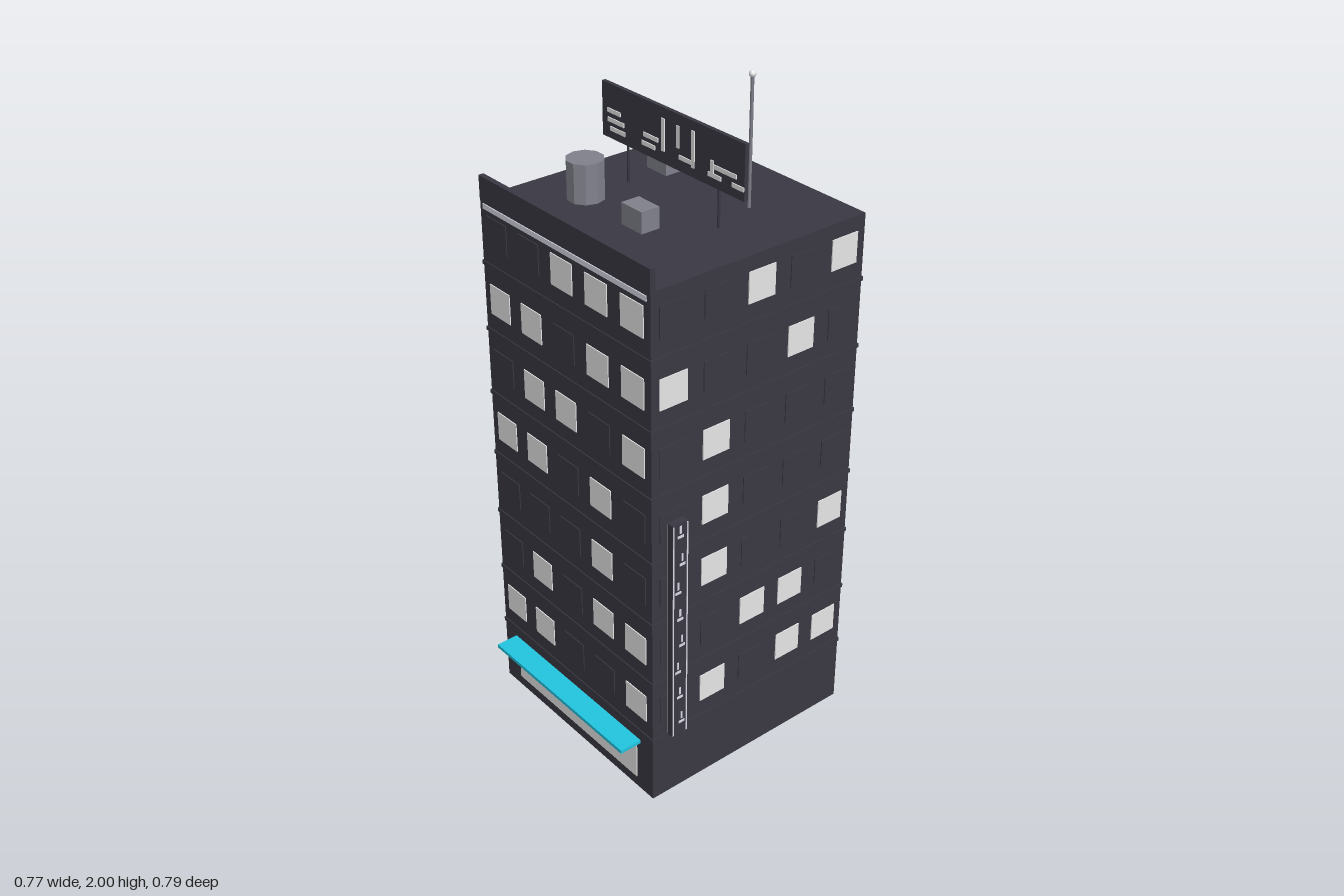
import * as THREE from 'three';

const mat = (name, color) => {
  const m = new THREE.MeshStandardMaterial({ color });
  m.name = name;
  return m;
};

export function createModel() {
  const dark = mat('dark wall', 0x3a3944);
  const light = mat('pale glass', 0xe8e8e8);
  const lilac = mat('pale lilac trim', 0xdcdcea);
  const grey = mat('grey metal', 0x81828d);
  const teal = mat('teal awning', 0x22c5e0);
  const building = new THREE.Group();
  building.name = 'building';

  const add = (name, geometry, material, x, y, z, parent = building) => {
    const mesh = new THREE.Mesh(geometry, material);
    mesh.name = name;
    mesh.position.set(x, y, z);
    parent.add(mesh);
    return mesh;
  };
  // box given by its limits on each axis
  const box = (name, material, x0, x1, y0, y1, z0, z1, parent) =>
    add(name, new THREE.BoxGeometry(x1 - x0, y1 - y0, z1 - z0), material,
      (x0 + x1) / 2, (y0 + y1) / 2, (z0 + z1) / 2, parent);

  const CX = -0.022, CZ = -0.034, HALF = 0.359, ROOF = 1.625;
  const ROW0 = 0.318, ROW = 0.203, COL = 0.144;

  // tower and floor ledges
  box('tower', dark, CX - HALF, CX + HALF, 0, ROOF, CZ - HALF, CZ + HALF);
  for (let i = 0; i < 7; i++) {
    const y = ROW0 + (i - 0.5) * ROW, out = HALF + 0.003;
    box('floorLedge', dark, CX - out, CX + out, y - 0.006, y + 0.006, CZ - out, CZ + out);
  }

  // windows: lit columns on each facade, top floor first
  const facades = [
    ['front', 0, ['234', '0134', '124', '013', '3', '134', '014']],
    ['left', Math.PI / 2, ['24', '03', '1', '1', '14', '23', '134']],
    ['back', Math.PI, ['234', '234', '02', '2', '2', '1', '2']],
    ['right', -Math.PI / 2, ['34', '13', '2', '04', '12', '3', '12']],
  ];
  const pane = new THREE.BoxGeometry(0.09, 0.09, 0.006);
  for (const [side, angle, floors] of facades) {
    const facade = new THREE.Group();
    facade.name = side + 'Windows';
    facade.position.set(CX, 0, CZ);
    facade.rotation.y = angle;
    floors.forEach((lit, r) => {
      for (let c = 0; c < 5; c++) {
        const on = lit.includes(String(c));
        add(on ? 'litWindow' : 'darkWindow', pane, on ? light : dark,
          (c - 2) * COL, ROW0 + (6 - r) * ROW, HALF, facade);
      }
    });
    building.add(facade);
  }

  // front parapet, trim, shop window and awning
  const FZ = CZ + HALF;
  box('parapet', dark, CX - HALF, CX + HALF, ROOF - 0.005, 1.688, FZ - 0.015, FZ + 0.001);
  box('trimStrip', lilac, -0.367, 0.323, 1.597, 1.612, FZ - 0.002, FZ + 0.003);
  box('shopWindow', light, -0.31, 0.266, 0.035, 0.172, FZ - 0.003, FZ + 0.003);
  box('awning', teal, -0.327, 0.282, 0.172, 0.183, FZ - 0.002, 0.395);

  // rooftop tank and air units
  add('waterTank', new THREE.CylinderGeometry(0.053, 0.053, 0.115, 10).rotateY(Math.PI / 2)
    .toNonIndexed(), grey, -0.201, ROOF + 0.055, 0.11).geometry.computeVertexNormals();
  for (const [x, z] of [[-0.216, -0.171], [-0.144, -0.229], [0.031, 0.111]])
    box('airUnit', grey, x - 0.041, x + 0.041, ROOF - 0.005, 1.686, z - 0.029, z + 0.029);

  // antenna
  add('antennaMast', new THREE.CylinderGeometry(0.005, 0.005, 0.37, 6), grey, 0.121, 1.805, -0.18);
  add('antennaTip', new THREE.SphereGeometry(0.01, 10, 8), light, 0.121, 1.99, -0.18);

  // roof board with abstract light dashes
  const board = new THREE.Group();
  board.name = 'roofBoard';
  building.add(board);
  box('boardPanel', dark, -0.307, 0.266, 1.733, 1.886, -0.043, -0.031, board);
  for (const x of [-0.205, 0.165])
    add('boardPost', new THREE.CylinderGeometry(0.004, 0.004, 0.13, 6), dark, x, 1.68, -0.037, board);
  const dashes = [
    [-0.255, 1.812, 0.055, 0.012], [-0.247, 1.786, 0.07, 0.012], [-0.24, 1.762, 0.065, 0.012],
    [-0.1, 1.79, 0.06, 0.012], [-0.11, 1.765, 0.055, 0.012], [-0.05, 1.812, 0.012, 0.09],
    [0.01, 1.825, 0.012, 0.06], [0.04, 1.772, 0.05, 0.012], [0.07, 1.81, 0.012, 0.1],
    [0.155, 1.765, 0.05, 0.012], [0.195, 1.79, 0.085, 0.012], [0.145, 1.785, 0.012, 0.04],
    [0.243, 1.765, 0.045, 0.012],
  ];
  for (const [x, y, w, h] of dashes)
    box('boardDash', light, x - w / 2, x + w / 2, y - h / 2, y + h / 2, -0.032, -0.028, board);

  // blade sign beside the wall, edged in thin pale strips with staggered dashes on each face
  const blade = new THREE.Group();
  blade.name = 'bladeSign';
  building.add(blade);
  box('bladePanel', dark, 0.358, 0.38, 0.242, 0.957, 0.238, 0.29, blade);
  for (const x of [0.3575, 0.3805]) {
    for (const z of [0.2405, 0.2875])
      box('bladeEdge', lilac, x - 0.001, x + 0.001, 0.245, 0.954, z - 0.002, z + 0.002, blade);
    for (let i = 0; i < 8; i++) {
      const y = 0.285 + i * 0.09, z = 0.264 + (i % 3 - 1) * 0.007;
      box('bladeDash', lilac, x - 0.001, x + 0.001, y - 0.004, y + 0.004, z - 0.01, z + 0.01, blade);
      box('bladeDash', lilac, x - 0.001, x + 0.001, y + 0.01, y + 0.034, z - 0.003, z + 0.003, blade);
    }
  }
  return building;
}
